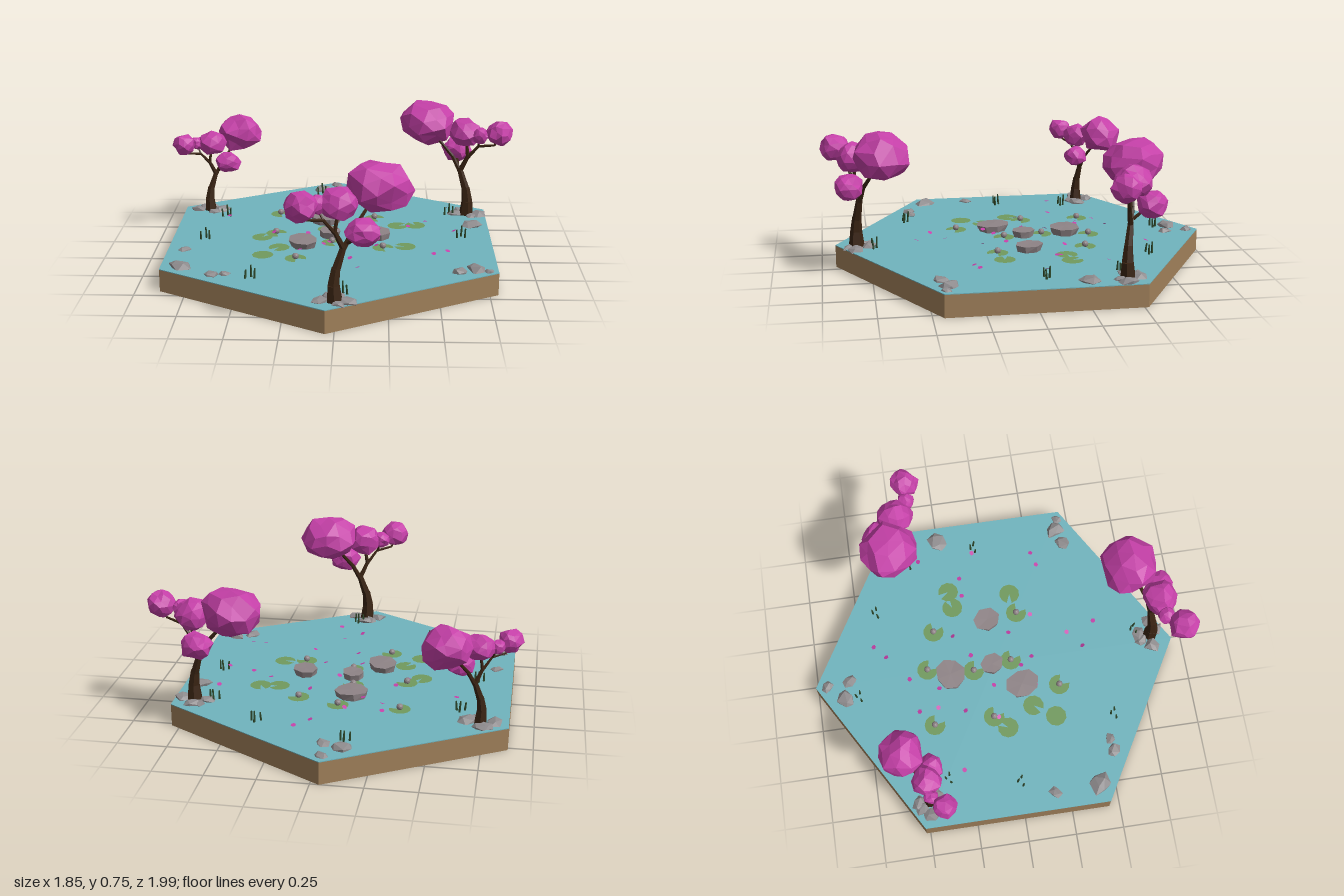
import * as THREE from 'three';

const mat = (name, color, opts = {}) => {
  const m = new THREE.MeshStandardMaterial({ color, flatShading: true, ...opts });
  m.name = name;
  return m;
};

// Small seeded random number in -1..1
let seed = 7;
const rnd = () => {
  seed = (seed * 16807) % 2147483647;
  return (seed / 2147483647) * 2 - 1;
};

// Moves matching corners of a geometry together, for a faceted uneven look
function roughen(geo, amount) {
  const p = geo.attributes.position, moved = new Map();
  for (let i = 0; i < p.count; i++) {
    const v = new THREE.Vector3().fromBufferAttribute(p, i);
    const key = v.toArray().map(n => Math.round(n * 1000)).join();
    if (!moved.has(key)) moved.set(key, [rnd() * amount, rnd() * amount, rnd() * amount]);
    const d = moved.get(key);
    p.setXYZ(i, v.x + d[0], v.y + d[1], v.z + d[2]);
  }
  geo.computeVertexNormals();
  return geo;
}

export function createModel() {
  const model = new THREE.Group();
  const M = {
    earth: mat('earth tan', 0xa0805a),
    water: mat('water blue', 0x70b4be),
    blossom: mat('blossom magenta', 0xc540a8),
    bark: mat('bark brown', 0x3a2413),
    rock: mat('rock grey', 0x8f8c8e),
    slab: mat('slab grey', 0x8f8487),
    pad: mat('lily pad green', 0x719a5e, { side: THREE.DoubleSide }),
    reed: mat('reed green', 0x2f4a2c),
    petal: mat('petal magenta', 0xc540a8, { side: THREE.DoubleSide }),
  };
  const add = (parent, name, geo, material, x = 0, y = 0, z = 0) => {
    const mesh = new THREE.Mesh(geo, material);
    mesh.name = name;
    mesh.position.set(x, y, z);
    parent.add(mesh);
    return mesh;
  };
  const group = (name, parent = model) => {
    const g = new THREE.Group();
    g.name = name;
    parent.add(g);
    return g;
  };
  const TOP = 0.117;

  // Hexagonal earth base with a thin sheet of water
  add(model, 'earthBase', new THREE.CylinderGeometry(0.965, 0.965, 0.113, 6), M.earth, -0.043, 0.0565, -0.037);
  add(model, 'water', new THREE.CylinderGeometry(0.965, 0.965, 0.004, 6), M.water, -0.043, 0.115, -0.037);

  // Tapered limb between two points
  function limb(parent, a, b, r0, r1) {
    const A = new THREE.Vector3(...a), B = new THREE.Vector3(...b), d = B.clone().sub(A);
    const m = add(parent, 'limb', new THREE.CylinderGeometry(r1, r0, d.length(), 6), M.bark);
    m.position.copy(A).addScaledVector(d, 0.5);
    m.quaternion.setFromUnitVectors(new THREE.Vector3(0, 1, 0), d.normalize());
  }

  function rock(parent, x, z, r, h = 0.55) {
    const m = add(parent, 'rock', roughen(new THREE.IcosahedronGeometry(1, 0), 0.2), M.rock, x, TOP, z);
    m.scale.set(r, r * h, r * 0.9);
    m.rotation.y = rnd() * 3;
  }

  // Blossom trees: one design, turned and scaled
  const limbs = [
    [[0, -0.01, 0], [-0.005, 0.08, 0], 0.042, 0.031],
    [[-0.005, 0.08, 0], [0.005, 0.16, -0.005], 0.031, 0.023],
    [[0.005, 0.15, -0.005], [0.04, 0.26, -0.02], 0.023, 0.016],
    [[0.04, 0.25, -0.02], [0.0, 0.34, 0.0], 0.015, 0.011],
    [[0.0, 0.335, 0.0], [0.015, 0.43, 0.0], 0.011, 0.008],
    [[0.0, 0.335, 0.0], [-0.05, 0.405, 0.03], 0.01, 0.007],
    [[-0.05, 0.405, 0.03], [-0.13, 0.42, 0.075], 0.008, 0.006],
    [[-0.13, 0.42, 0.075], [-0.15, 0.47, 0.09], 0.006, 0.005],
    [[-0.05, 0.405, 0.03], [-0.08, 0.46, 0.01], 0.006, 0.005],
    [[0.04, 0.25, -0.02], [0.08, 0.33, -0.04], 0.014, 0.011],
    [[0.08, 0.33, -0.04], [0.17, 0.46, -0.11], 0.011, 0.007],
    [[0.06, 0.28, -0.02], [0.12, 0.34, 0.03], 0.01, 0.006],
  ];
  const crowns = [
    [0.2, 0.515, -0.13, 0.15, 0.122, 0.142],
    [0.02, 0.475, 0, 0.092, 0.078, 0.09],
    [-0.15, 0.49, 0.09, 0.073, 0.07, 0.077],
    [-0.08, 0.475, 0.015, 0.046, 0.045, 0.045],
    [0.13, 0.35, 0.035, 0.083, 0.068, 0.075],
  ];
  for (const [x, z, turn, size] of [[0, 0.82, 0, 1], [0.69, -0.44, 2.27, 0.98], [-0.74, -0.476, 0, 0.82]]) {
    const tree = group('blossomTree');
    tree.position.set(x, TOP, z);
    tree.rotation.y = turn;
    tree.scale.setScalar(size);
    const trunk = group('trunkAndBranches', tree);
    for (const l of limbs) limb(trunk, ...l);
    for (const [cx, cy, cz, rx, ry, rz] of crowns) {
      const c = add(tree, 'blossomCrown', roughen(new THREE.IcosahedronGeometry(1, 1), 0.13), M.blossom, cx, cy, cz);
      c.scale.set(rx, ry, rz);
    }
    // Stones round the foot of the trunk
    const stones = group('trunkStones');
    for (const [dx, dz, r] of [[-0.07, 0, 0.045], [0.06, 0.01, 0.05], [0, -0.06, 0.045], [0.02, 0.04, 0.035], [-0.03, -0.05, 0.04]])
      rock(stones, x + dx, z + dz, r, 0.5);
  }

  // Shore rocks
  const shore = group('shoreRocks');
  for (const [x, z, r] of [
    [-0.12, -0.85, 0.058], [-0.045, -0.94, 0.037], [-0.03, -0.82, 0.04], [0.71, -0.25, 0.055],
    [-0.79, 0.17, 0.034], [-0.78, 0.41, 0.062], [-0.61, 0.51, 0.04], [-0.55, 0.5, 0.033],
    [0.6, 0.44, 0.045], [0.69, 0.41, 0.058], [0.745, 0.43, 0.03]]) rock(shore, x, z, r, 0.5);

  // Flat stepping stones
  const steps = group('steppingStones');
  for (const [x, z, rx, rz, sides] of [
    [-0.08, -0.28, 0.088, 0.08, 8], [-0.055, -0.055, 0.057, 0.062, 7],
    [0.2, -0.045, 0.065, 0.072, 7], [-0.19, 0.09, 0.075, 0.09, 8]]) {
    const s = add(steps, 'steppingStone', roughen(new THREE.CylinderGeometry(1, 0.85, 1, sides), 0.06), M.slab, x, 0.136, z);
    s.scale.set(rx, 0.036, rz);
    s.rotation.y = 0.3;
  }

  // Lily pads with a notch; some carry a round bud
  const lilies = group('lilyPads');
  for (const [x, z, bud, gap, turn] of [
    [-0.34, -0.4, 1, 1.3, -0.7], [-0.03, -0.4, 1, 1.3, -0.9], [0.18, -0.34, 1, 1.3, -0.5], [-0.07, -0.155, 1, 1.3, -0.8],
    [-0.34, -0.085, 1, 1.3, -0.7], [-0.04, 0.05, 1, 1.3, -0.6], [0.225, 0.12, 1, 1.3, -0.7], [-0.215, 0.285, 1, 1.3, -0.9],
    [0.305, -0.22, 0, 0.5, 0.4], [0.4, -0.23, 0, 0.5, 2], [-0.41, -0.02, 0, 0.5, 1], [0.34, 0.1, 0, 0.5, 3],
    [-0.31, 0.13, 0, 0.5, 4], [-0.385, 0.24, 0, 0, 0]]) {
    const p = add(lilies, 'lilyPad', new THREE.CircleGeometry(0.055, 10, gap / 2, Math.PI * 2 - gap), M.pad, x, 0.121, z);
    p.rotation.set(-Math.PI / 2, 0, turn);
    if (bud) add(lilies, 'lilyBud', new THREE.IcosahedronGeometry(0.017, 1), M.slab, x, 0.133, z);
  }

  // Drifting petals
  const petals = group('petals');
  const drift = [
    [0.14, -0.67], [0.07, -0.61], [-0.08, -0.5], [-0.26, -0.47], [-0.25, -0.37], [-0.15, -0.35], [-0.3, -0.23],
    [0.14, -0.24], [0, -0.16], [0.36, -0.16], [0.45, -0.16], [-0.17, -0.06], [0.11, 0.06], [-0.08, 0.1],
    [-0.05, 0.16], [0.19, 0.19], [0.55, 0.25], [0.48, 0.27], [0.06, 0.37], [-0.03, 0.44], [0.1, 0.52],
    [-0.2, 0.16], [0.58, -0.37], [0.6, -0.07], [-0.61, -0.28], [-0.35, -0.06]];
  for (const [x, z] of drift) {
    const p = add(petals, 'petal', new THREE.CircleGeometry(0.013, 6), M.petal, x, 0.15 + rnd() * 0.028, z);
    p.rotation.set(-Math.PI / 2 + rnd() * 0.4, rnd() * 0.4, rnd() * 3);
  }

  // Reed clumps
  const reeds = group('reeds');
  for (const [x, z] of [
    [-0.71, 0], [0.33, -0.64], [0.635, -0.06], [-0.42, 0.54], [-0.13, -0.78], [0.03, 0.73], [-0.64, -0.37], [0.59, -0.43]]) {
    for (const [dx, dz, h] of [[-0.02, 0.012, 0.045], [0.005, -0.012, 0.06], [0.024, 0.008, 0.05]]) {
      const r = add(reeds, 'reed', new THREE.CylinderGeometry(0.004, 0.006, h, 5), M.reed, x + dx, TOP + h / 2, z + dz);
      r.rotation.set(rnd() * 0.12, 0, rnd() * 0.12);
    }
  }
  return model;
}
